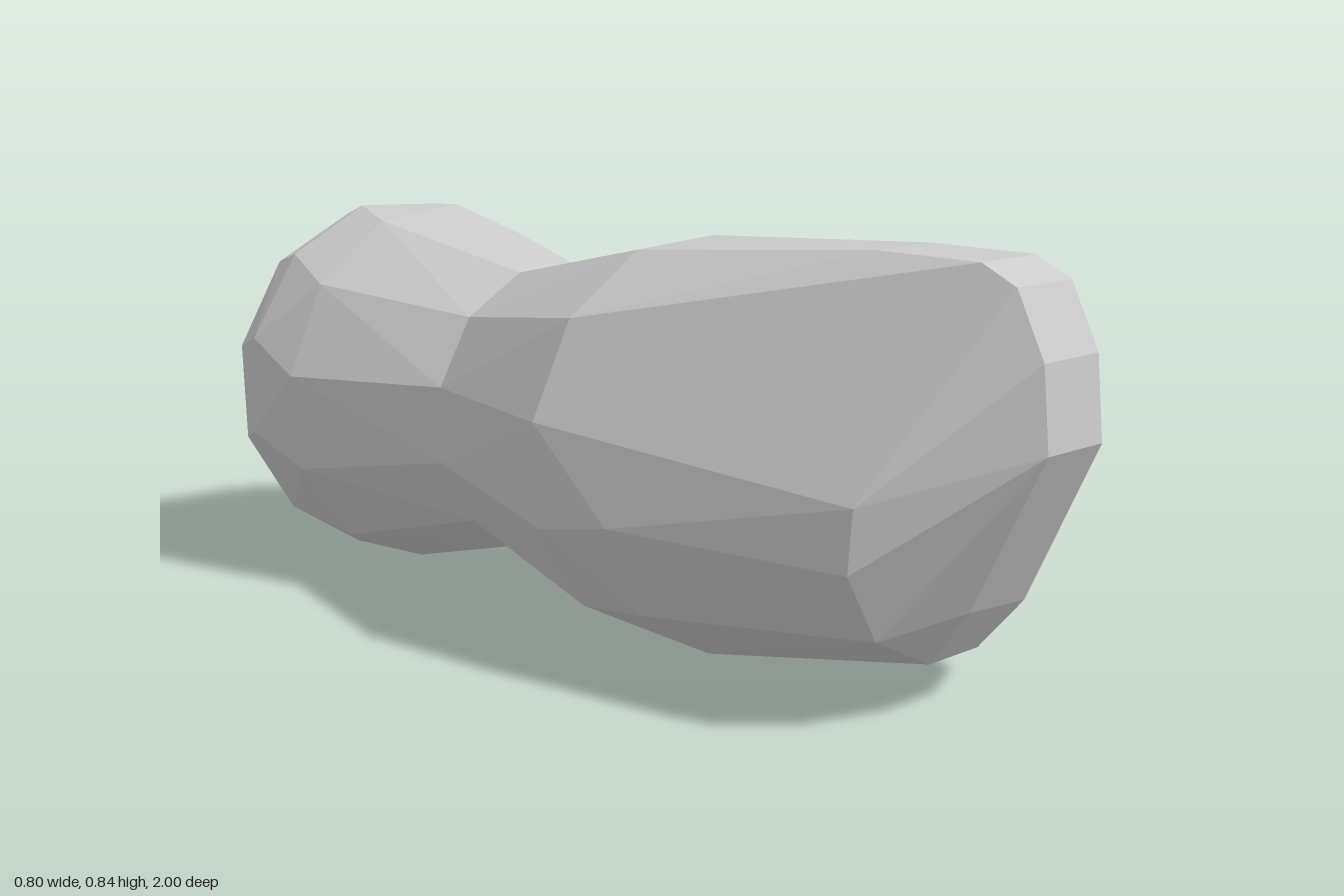
import * as THREE from 'three';
import { ConvexGeometry } from 'three/addons/geometries/ConvexGeometry.js';

const CENTRE_Y = 0.4;

// Polygon ring of points facing z; turn is in steps, 0 = flat bottom edge
function ring(z, radius, turn = 0, sides = 12, from = 0, to = sides) {
  const points = [];
  for (let i = from; i < to; i++) {
    const a = -Math.PI / 2 + ((i + 0.5 + turn) / sides) * Math.PI * 2;
    points.push(new THREE.Vector3(Math.cos(a) * radius, CENTRE_Y + Math.sin(a) * radius, z));
  }
  return points;
}

function facetedHull(name, points) {
  const material = new THREE.MeshStandardMaterial({ color: 0xcccccc, flatShading: true });
  const mesh = new THREE.Mesh(new ConvexGeometry(points), material);
  mesh.name = name;
  return mesh;
}

export function createModel() {
  const model = new THREE.Group();
  model.name = 'facetedBody';

  // Front body: narrow waist, full middle, tapering to a raised nose
  const front = [
    ...ring(-0.36, 0.308),
    ...ring(0.05, 0.407, 0.1),
    ...ring(0.25, 0.407, -0.1, 12, -3, 3),
  ];

  // Chin: lower half outline under the nose
  [[0.07, 0.1], [0.22, 0.175], [0.3, 0.31]].forEach(([x, y]) => {
    front.push(new THREE.Vector3(x, y, 0.75), new THREE.Vector3(-x, y, 0.75));
  });
  front.push(
    new THREE.Vector3(0.3, 0.49, 0.74),
    new THREE.Vector3(-0.3, 0.43, 0.76),
    new THREE.Vector3(0.105, 0.2, 0.825),
    new THREE.Vector3(-0.07, 0.215, 0.835),
  );

  // Nose strip: profile from the tip over the crown, given as y and z
  [[0.525, 1], [0.68, 0.985], [0.8, 0.925], [0.835, 0.85], [0.835, 0.62]].forEach(([y, z]) => {
    front.push(new THREE.Vector3(-0.088, y, z), new THREE.Vector3(0.067, y, z));
  });
  model.add(facetedHull('frontBody', front));

  // Rear body: flares from the waist to a flat, slightly bevelled end
  model.add(facetedHull('rearBody', [
    ...ring(-0.36, 0.308),
    ...ring(-0.75, 0.407, 0.2),
    ...ring(-0.91, 0.407, -0.1),
    ...ring(-1, 0.375, 0.3, 11),
  ]));

  return model;
}
